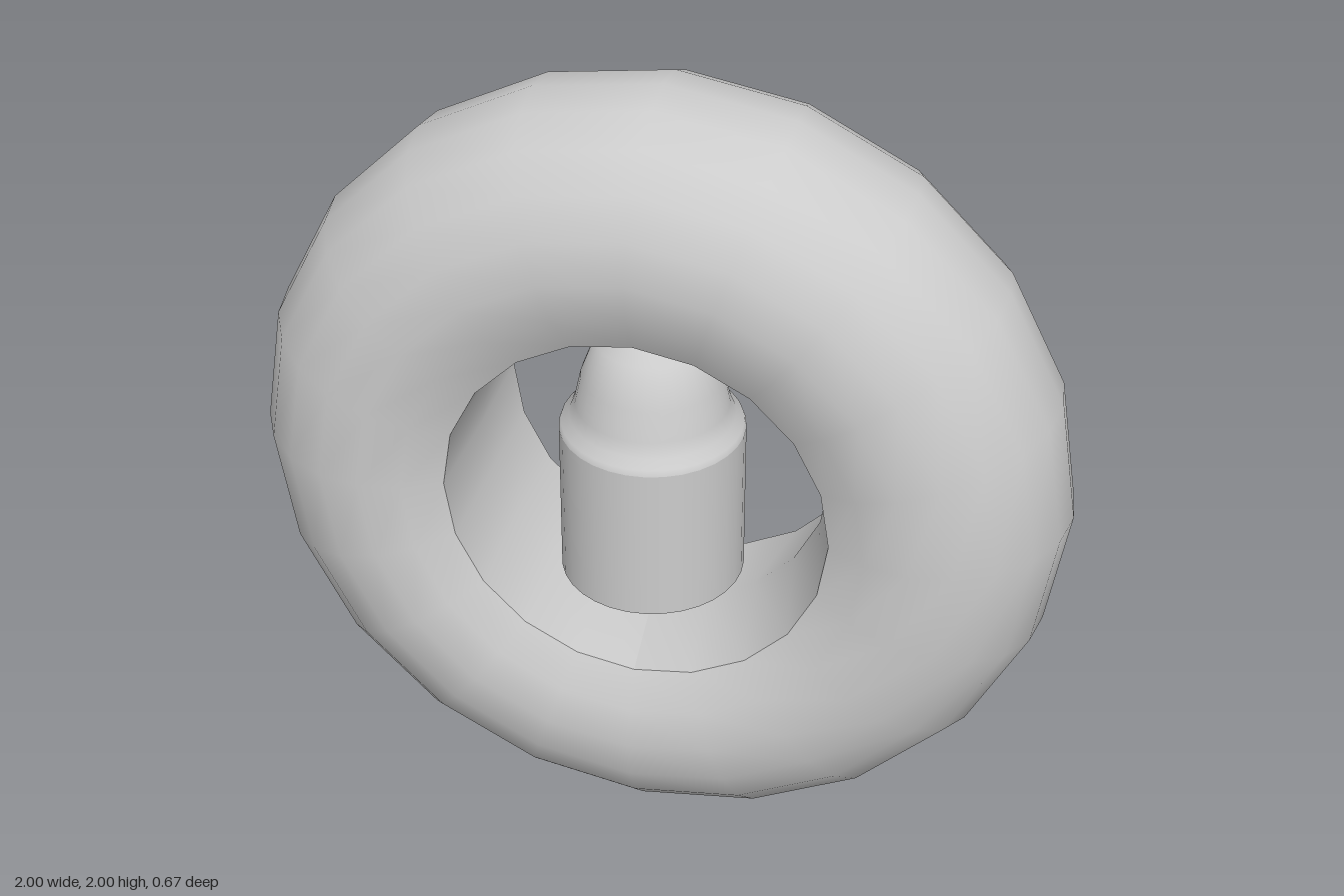
import * as THREE from 'three';

const SIDES = 20;

function lathe(name, points, material, sides = SIDES) {
  const profile = points.map(([r, y]) => new THREE.Vector2(r, y));
  const mesh = new THREE.Mesh(new THREE.LatheGeometry(profile, sides), material);
  mesh.name = name;
  return mesh;
}

export function createModel() {
  const model = new THREE.Group();
  model.name = 'ringWithCore';
  const material = new THREE.MeshStandardMaterial({ color: 0xcccccc });

  // Upright ring: its round section stops where the bore cuts it
  const ring = new THREE.Group();
  ring.name = 'ring';
  ring.rotation.x = Math.PI / 2;
  ring.position.y = 1;
  model.add(ring);

  const tube = 1 / 3;
  const section = [];
  for (let i = -7; i <= 7; i++) {
    const a = (i * Math.PI) / 10;
    section.push([1 - tube + tube * Math.cos(a), tube * Math.sin(a)]);
  }
  ring.add(lathe('ringBody', section, material));

  // Bore wall: narrows to a slightly off-centre waist
  const [rim, depth] = section[14];
  const bore = lathe('ringBore', [[rim, depth], [0.44, 0], [rim, -depth]], material);
  const pos = bore.geometry.attributes.position;
  for (let i = 0; i < pos.count; i++) {
    pos.setX(i, pos.getX(i) - 0.025 * (1 - Math.abs(pos.getY(i)) / depth));
  }
  bore.geometry.computeVertexNormals();
  ring.add(bore);

  // Core standing in the bore: straight body, soft shoulder, domed tip
  const core = new THREE.Group();
  core.name = 'core';
  core.position.x = -0.028;
  model.add(core);

  core.add(lathe('coreBody', [[0.227, 0.67], [0.227, 1.08]], material, 32));
  core.add(lathe('coreTip', [
    [0.227, 1.08], [0.222, 1.095], [0.202, 1.115], [0.188, 1.15], [0.172, 1.225],
    [0.135, 1.325], [0.055, 1.375], [0, 1.378],
  ], material, 32));

  const base = new THREE.Mesh(new THREE.CircleGeometry(0.227, 32), material);
  base.name = 'coreBase';
  base.rotation.x = Math.PI / 2;
  base.position.y = 0.67;
  core.add(base);

  return model;
}
